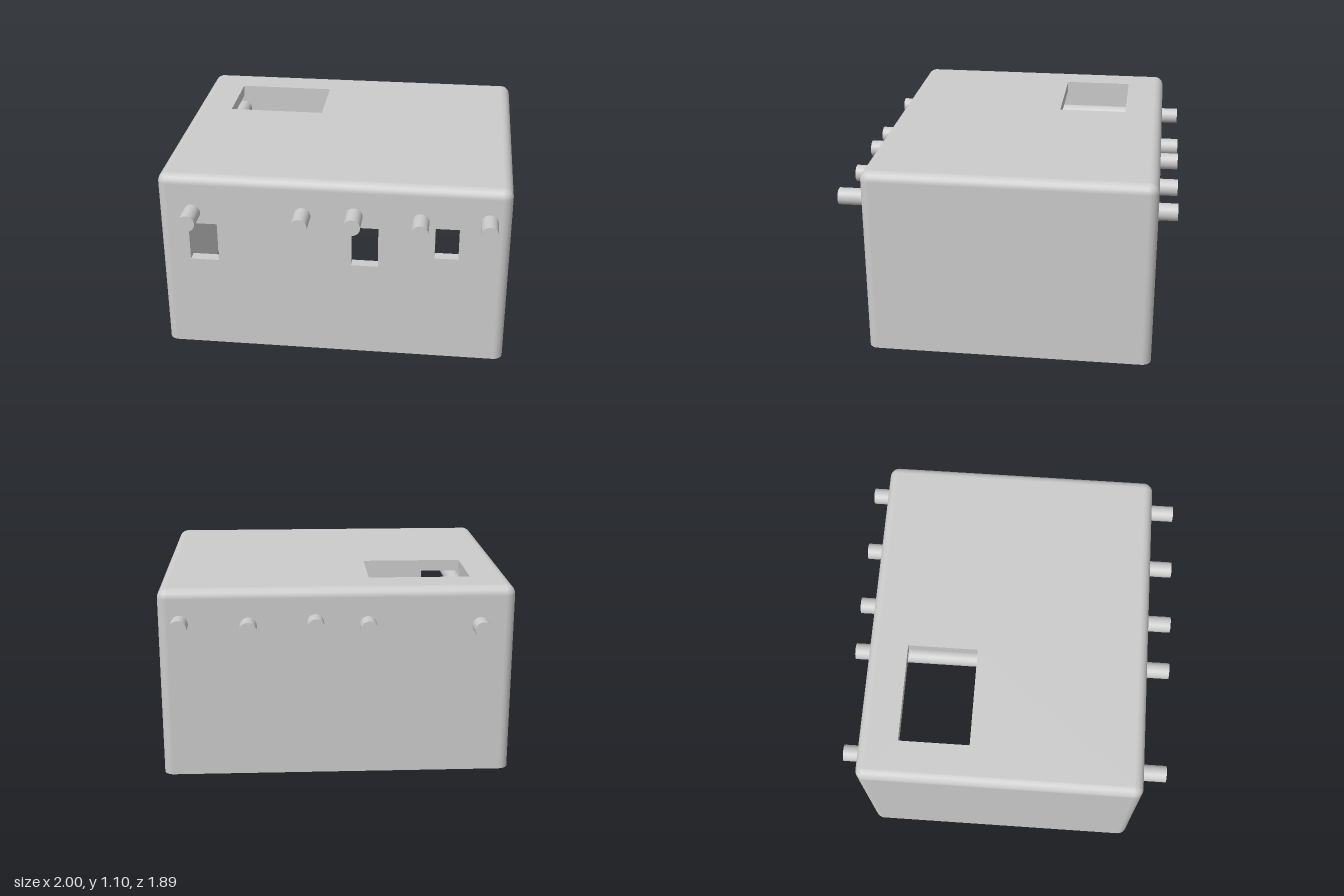
import * as THREE from 'three';

const HW = 1, HD = 0.82, H = 1.1;   // half width, half depth, height of the case
const R = 0.055, T = 0.065;         // edge rounding, wall thickness
const Z0 = -0.02;                   // case sits slightly behind the rod centres

const material = new THREE.MeshStandardMaterial({ color: 0xcccccc });

function mesh(name, geometry, parent, x = 0, y = 0, z = 0) {
  const m = new THREE.Mesh(geometry, material);
  m.name = name;
  m.position.set(x, y, z);
  parent.add(m);
  return m;
}

// Flat plate with rectangular openings, each given as [x0, x1, y0, y1]
function plate(x0, x1, y0, y1, holes) {
  const rect = (C, a, b, c, d) => new C([[a, c], [b, c], [b, d], [a, d]].map(p => new THREE.Vector2(...p)));
  const shape = rect(THREE.Shape, x0, x1, y0, y1);
  shape.holes = holes.map(h => rect(THREE.Path, ...h));
  return new THREE.ExtrudeGeometry(shape, { depth: T, bevelEnabled: false });
}

// One side wall facing +z, with its rounded top edge and the rounded corner at its +x end
function wall(name, halfW, out, holes) {
  const g = new THREE.Group();
  g.name = name;
  const w = halfW - R, z = out - R, q = Math.PI / 2;
  mesh('panel', plate(-w, w, 0, H - R, holes), g, 0, 0, out - T);
  const edge = new THREE.CylinderGeometry(R, R, 2 * w, 6, 1, false, 0, q).rotateZ(q);
  mesh('topEdge', edge, g, 0, H - R, z);
  mesh('cornerPost', new THREE.CylinderGeometry(R, R, H - R, 6, 1, false, 0, q), g, w, (H - R) / 2, z);
  mesh('cornerCap', new THREE.SphereGeometry(R, 6, 6, q, q, 0, q), g, w, H - R, z);
  return g;
}

export function createModel() {
  const model = new THREE.Group();
  model.name = 'boxWithRods';

  // Hollow case, open underneath
  const shell = new THREE.Group();
  shell.name = 'case';
  shell.position.z = Z0;
  model.add(shell);

  const windows = [
    [-0.83, -0.665, 0.57, 0.805],
    [0.105, 0.26, 0.585, 0.83],
    [0.58, 0.715, 0.66, 0.85],
  ];
  ['frontWall', 'leftWall', 'backWall', 'rightWall'].forEach((name, k) => {
    const side = k % 2 === 1;
    const g = wall(name, side ? HD : HW, side ? HW : HD, k === 0 ? windows : []);
    g.rotation.y = k * Math.PI / 2;
    shell.add(g);
  });

  // Lid with its rectangular opening
  const lid = plate(-HW + R, HW - R, -HD + R, HD - R, [[-0.77, -0.19, 0.18, 0.59]]);
  mesh('lid', lid.rotateX(-Math.PI / 2), shell, 0, H - T, 0);

  // Rods running right through the case from front to back
  const rods = [[-0.805, 0.876], [-0.172, 0.89], [0.123, 0.905], [0.497, 0.89], [0.878, 0.905]];
  const rod = new THREE.CylinderGeometry(0.048, 0.048, 1.89, 32).rotateX(Math.PI / 2);
  rods.forEach(([x, y], i) => mesh('rod' + (i + 1), rod, model, x, y, 0));

  return model;
}
